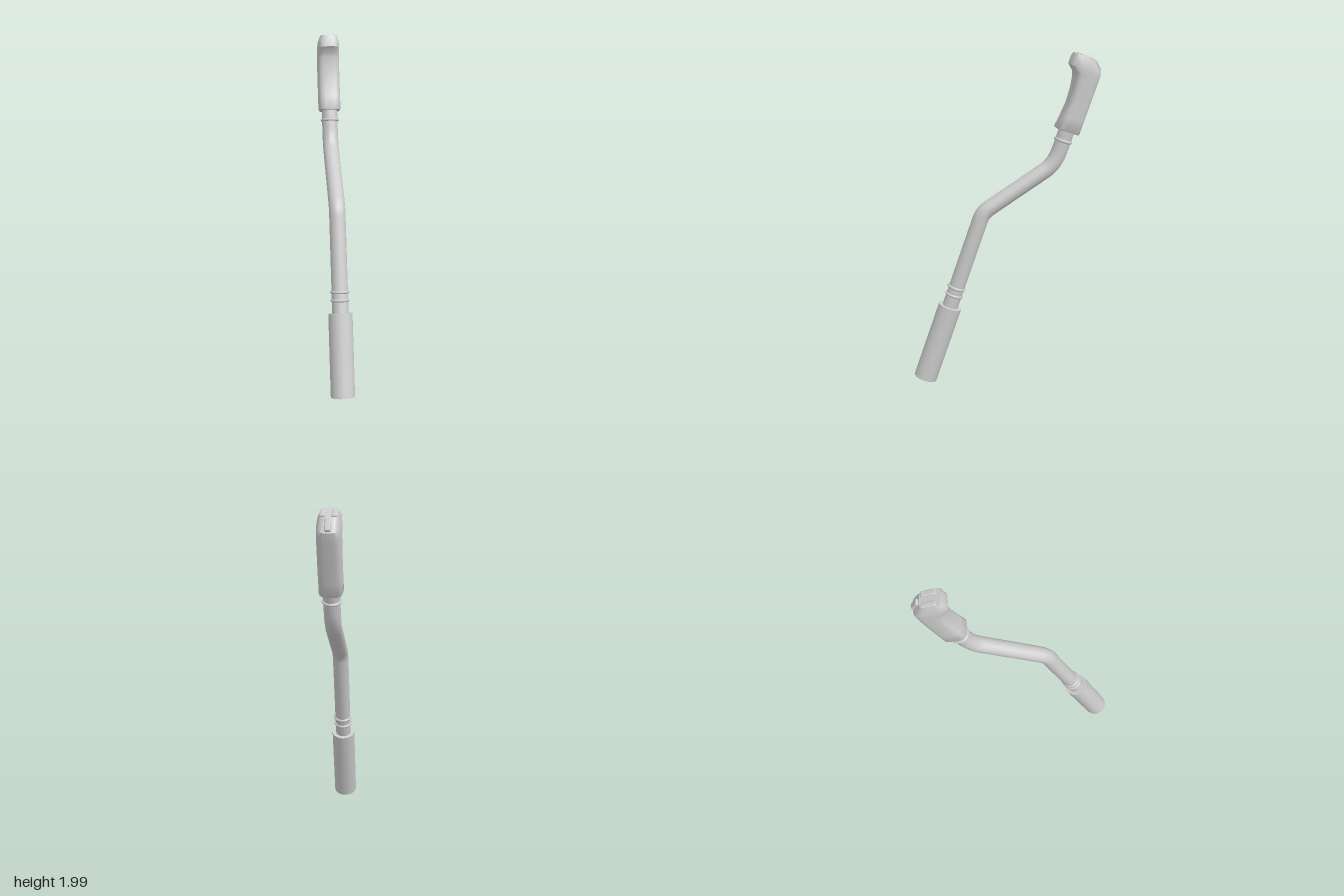
import * as THREE from 'three';
import { toCreasedNormals } from 'three/addons/utils/BufferGeometryUtils.js';
import { RoundedBoxGeometry } from 'three/addons/geometries/RoundedBoxGeometry.js';

const material = new THREE.MeshStandardMaterial({ color: 0xcccccc });
const TILT = -0.34; // lean of both grips and the straight shaft ends

function addMesh(parent, name, geometry, x = 0, y = 0, z = 0) {
  const mesh = new THREE.Mesh(geometry, material);
  mesh.name = name;
  mesh.position.set(x, y, z);
  parent.add(mesh);
  return mesh;
}

// A group whose own y axis runs along the tilted shaft
function tiltedGroup(parent, name, y, z) {
  const group = new THREE.Group();
  group.name = name;
  group.position.set(0, y, z);
  group.rotation.x = TILT;
  parent.add(group);
  return group;
}

function addRing(parent, y) {
  const ring = addMesh(parent, 'collarRing', new THREE.TorusGeometry(0.048, 0.009, 8, 24), 0, y, 0);
  ring.rotation.x = Math.PI / 2;
}

// Loft of rounded-square sections: [front height, front depth, back height, back depth, half width]
function loft(sections, sides) {
  const positions = [], indices = [];
  const soft = (v) => Math.sign(v) * Math.pow(Math.abs(v), 0.55);
  for (const [yf, zf, yb, zb, w] of sections) {
    for (let j = 0; j < sides; j++) {
      const a = (j / sides) * Math.PI * 2;
      const k = (soft(Math.sin(a)) + 1) / 2;
      positions.push(w * soft(Math.cos(a)), yb + (yf - yb) * k, zb + (zf - zb) * k);
    }
  }
  for (let i = 0; i < sections.length - 1; i++) {
    for (let j = 0; j < sides; j++) {
      const a = i * sides + j, b = i * sides + (j + 1) % sides;
      indices.push(a, a + sides, b, b, a + sides, b + sides);
    }
  }
  const geometry = new THREE.BufferGeometry();
  geometry.setAttribute('position', new THREE.Float32BufferAttribute(positions, 3));
  geometry.setIndex(indices);
  return toCreasedNormals(geometry, 0.7);
}

export function createModel() {
  const model = new THREE.Group();
  model.name = 'crankedLever';

  // Cranked shaft: straight, sharp bend, diagonal, soft bend, straight
  const p = (y, z) => new THREE.Vector3(0, y, z);
  const path = new THREE.CurvePath();
  path.add(new THREE.LineCurve3(p(0.45, 0.357), p(1.02, 0.155)));
  path.add(new THREE.QuadraticBezierCurve3(p(1.02, 0.155), p(1.064, 0.14), p(1.089, 0.1)));
  path.add(new THREE.LineCurve3(p(1.089, 0.1), p(1.302, -0.24)));
  path.add(new THREE.QuadraticBezierCurve3(p(1.302, -0.24), p(1.34, -0.3), p(1.43, -0.332)));
  path.add(new THREE.LineCurve3(p(1.43, -0.332), p(1.57, -0.381)));
  addMesh(model, 'shaft', new THREE.TubeGeometry(path, 72, 0.048, 16, false));

  // Lower sleeve with two rings above it
  const lower = tiltedGroup(model, 'lowerSleeve', 0.027, 0.507);
  addMesh(lower, 'sleeve', new THREE.CylinderGeometry(0.071, 0.071, 0.486, 16), 0, 0.243, 0);
  addRing(lower, 0.562);
  addRing(lower, 0.61);

  // Upper grip: narrow waist, head bulging to the front, sloped back edge
  const upper = tiltedGroup(model, 'upperGrip', 1.536, -0.369);
  addRing(upper, -0.06);
  addMesh(upper, 'grip', loft([
    [0, 0, 0, 0, 0],
    [0, 0.07, 0, -0.07, 0.062],
    [0.008, 0.073, 0.008, -0.073, 0.067],
    [0.082, 0.063, 0.082, -0.073, 0.067],
    [0.157, 0.056, 0.157, -0.073, 0.067],
    [0.251, 0.061, 0.24, -0.073, 0.067],
    [0.32, 0.074, 0.30, -0.073, 0.067],
    [0.345, 0.085, 0.325, -0.073, 0.067],
    [0.376, 0.122, 0.355, -0.073, 0.067],
    [0.425, 0.122, 0.385, -0.07, 0.065],
    [0.447, 0.116, 0.444, -0.007, 0.052],
    [0.446, 0.055, 0.446, 0.055, 0],
  ], 32));

  // Two long buttons on top and one on the back slope
  for (const side of [-1, 1]) {
    addMesh(upper, 'topButton', new RoundedBoxGeometry(0.033, 0.02, 0.085, 3, 0.009), side * 0.0315, 0.445, 0.045);
  }
  const back = addMesh(upper, 'backButton', new RoundedBoxGeometry(0.034, 0.024, 0.07, 3, 0.007), 0, 0.417, -0.04);
  back.rotation.x = -0.76;

  return model;
}
